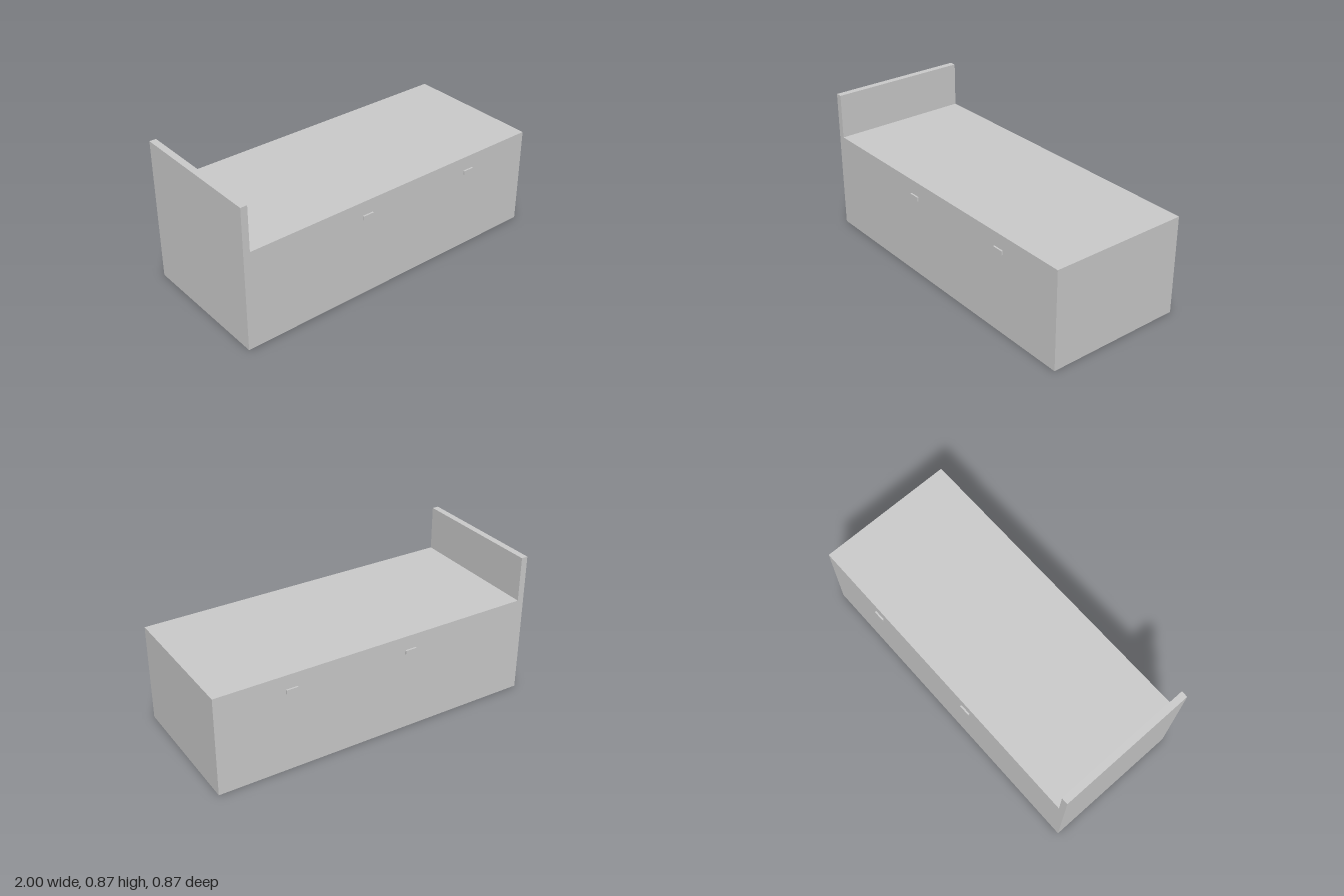
import * as THREE from 'three';

const LENGTH = 2, WIDTH = 0.85, BASE_TOP = 0.6, HEAD_TOP = 0.872, HEAD_THICK = 0.04;

export function createModel() {
  const group = new THREE.Group();
  group.name = 'bed';
  const material = new THREE.MeshStandardMaterial({ color: 0xcccccc });

  // Base and headboard: one L-shaped side profile extruded across the width
  const half = LENGTH / 2;
  const profile = new THREE.Shape([
    [-half, 0], [half, 0], [half, BASE_TOP],
    [-half + HEAD_THICK, BASE_TOP], [-half + HEAD_THICK, HEAD_TOP], [-half, HEAD_TOP],
  ].map(([x, y]) => new THREE.Vector2(x, y)));
  const frameGeometry = new THREE.ExtrudeGeometry(profile, { depth: WIDTH, bevelEnabled: false });
  frameGeometry.translate(0, 0, -WIDTH / 2);
  const frame = new THREE.Mesh(frameGeometry, material);
  frame.name = 'baseWithHeadboard';
  group.add(frame);

  // Drawer handles: two on each long side
  const handleGeometry = new THREE.BoxGeometry(0.068, 0.025, 0.01);
  for (const side of [1, -1]) {
    for (const x of [-0.202, 0.548]) {
      const handle = new THREE.Mesh(handleGeometry, material);
      handle.name = 'drawerHandle';
      handle.position.set(x, 0.502, side * (WIDTH / 2 + 0.005));
      group.add(handle);
    }
  }
  return group;
}
